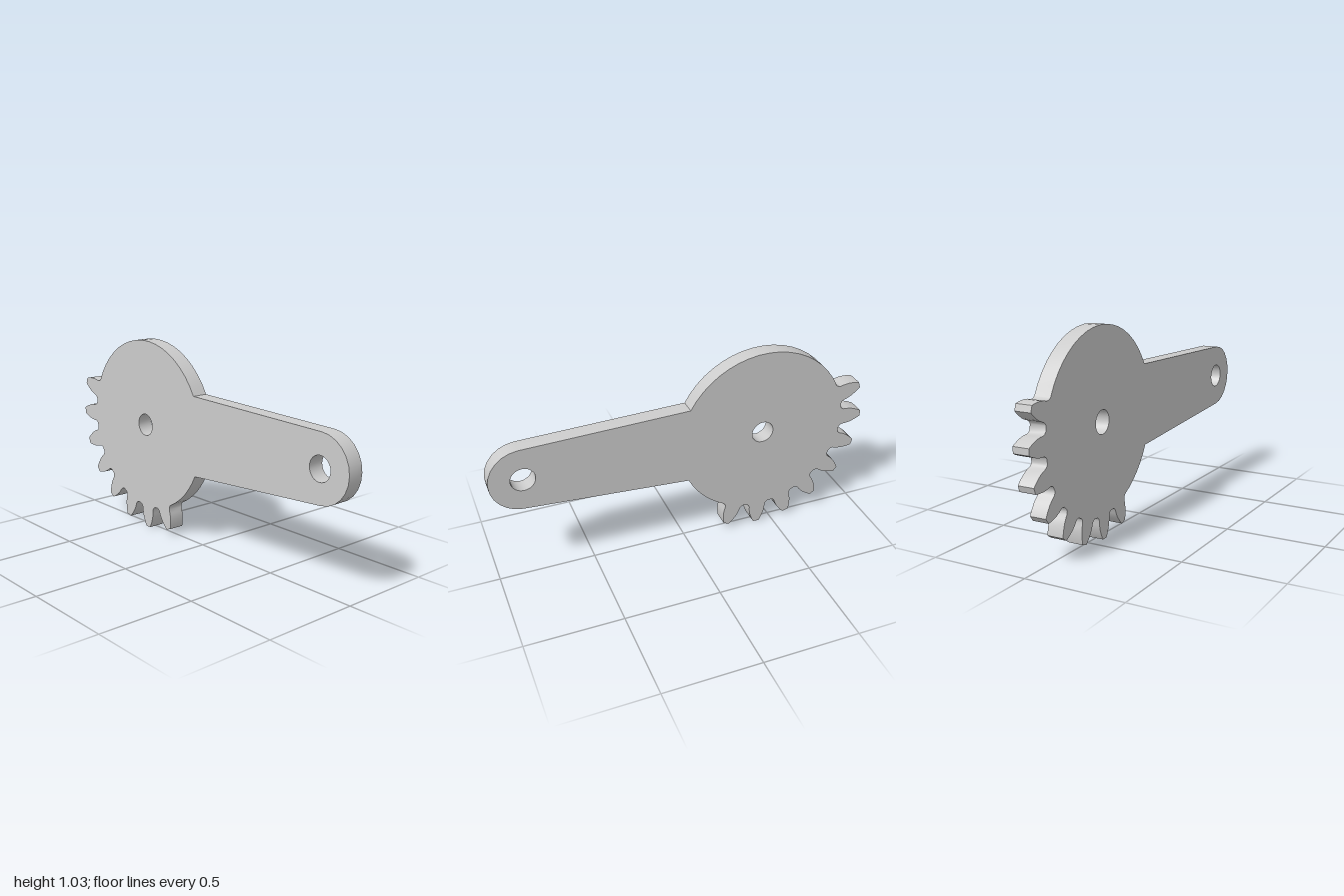
import * as THREE from 'three';
import { toCreasedNormals } from 'three/addons/utils/BufferGeometryUtils.js';

const rad = THREE.MathUtils.degToRad;
const HUB = { x: -0.423, y: 0.579, r: 0.456, hole: 0.059 };
const END = { x: 0.832, y: 0.606, r: 0.168, hole: 0.062 };
const DEPTH = 0.084;

// Half of a gear tooth: [radius, half width], root to tip
const FLANK = [
  [0.458, 0.059], [0.464, 0.051], [0.475, 0.046], [0.497, 0.045],
  [0.52, 0.041], [0.545, 0.032], [0.565, 0.023], [0.577, 0.016],
];

function polar(c, r, a) {
  return new THREE.Vector2(c.x + r * Math.cos(a), c.y + r * Math.sin(a));
}

function arc(c, fromDeg, toDeg, n) {
  return Array.from({ length: n + 1 }, (_, i) =>
    polar(c, c.r, rad(fromDeg + (toDeg - fromDeg) * i / n)));
}

function tooth(angleDeg) {
  const a = rad(angleDeg);
  const rising = FLANK.map(([r, w]) => polar(HUB, r, a - w / r));
  const falling = FLANK.map(([r, w]) => polar(HUB, r, a + w / r)).reverse();
  return [...rising, ...falling];
}

function hole(c) {
  return new THREE.Path().absarc(c.x, c.y, c.hole, 0, Math.PI * 2, true);
}

export function createModel() {
  const group = new THREE.Group();
  group.name = 'sectorGearLever';

  // Counterclockwise outline: plain rim, eight teeth, plain rim, arm end
  const outline = arc(HUB, 28.5, 155.5, 18);
  for (let i = 0; i < 8; i++) outline.push(...tooth(163.4 + i * 17.95));
  outline.push(...arc(HUB, 297, 334, 6));
  outline.push(...arc(END, -86, 88.3, 12));

  const shape = new THREE.Shape(outline);
  shape.holes.push(hole(HUB), hole(END));

  const geometry = new THREE.ExtrudeGeometry(shape, {
    depth: DEPTH, bevelEnabled: false, curveSegments: 12,
  });
  geometry.translate(0, 0, -DEPTH / 2);

  const plate = new THREE.Mesh(
    toCreasedNormals(geometry, rad(35)),
    new THREE.MeshStandardMaterial({ color: 0xcccccc }),
  );
  plate.name = 'toothedLeverPlate';
  group.add(plate);
  return group;
}
